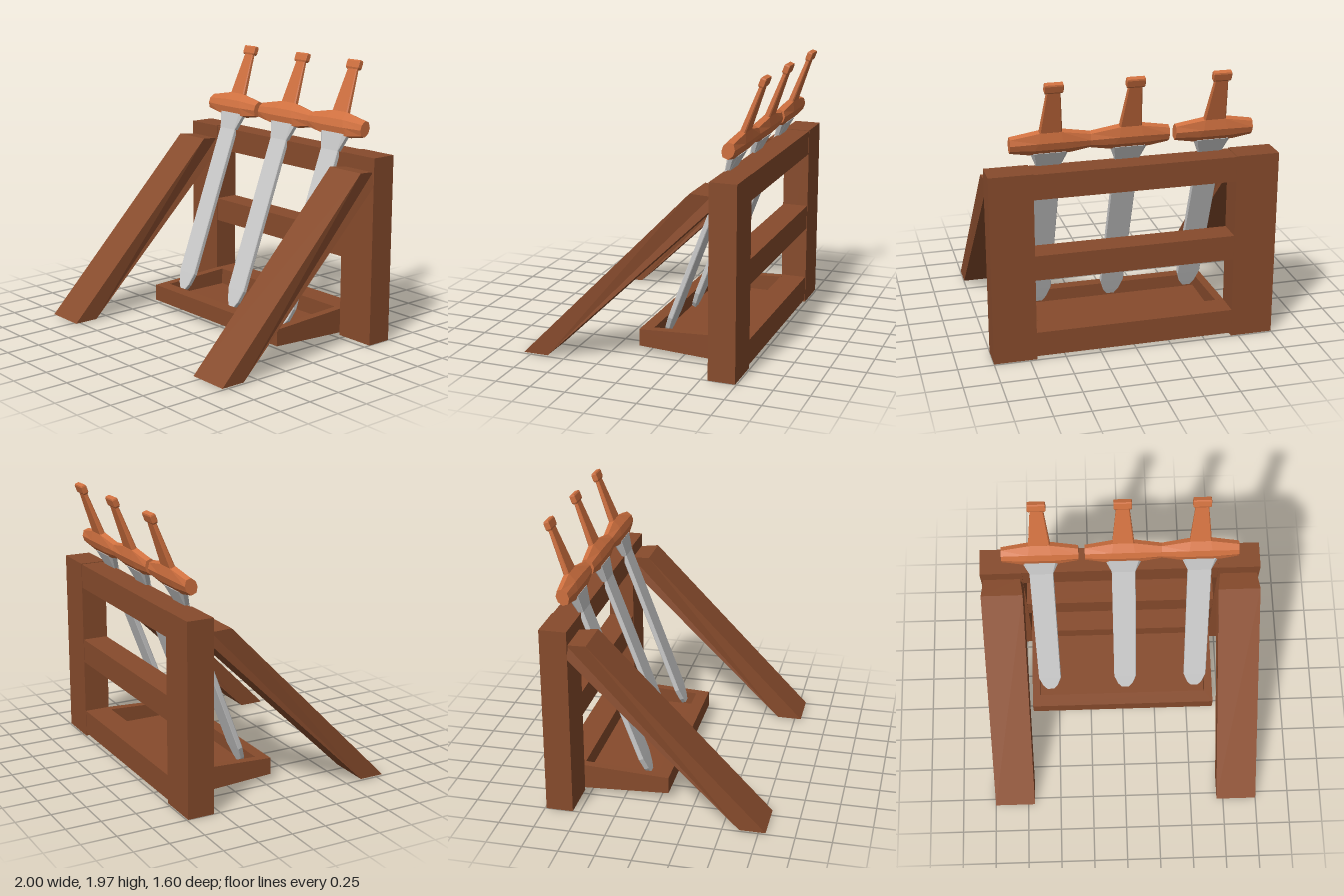
import * as THREE from 'three';

const WOOD = new THREE.MeshStandardMaterial({ color: 0x874b2c, flatShading: true });
const HILT = new THREE.MeshStandardMaterial({ color: 0xcf703f, flatShading: true });
const STEEL = new THREE.MeshStandardMaterial({ color: 0xcccccc, flatShading: true });

function mesh(name, geometry, material) {
  const m = new THREE.Mesh(geometry, material);
  m.name = name;
  return m;
}

// Box given by its limits on each axis
function block(name, [x0, x1], [y0, y1], [z0, z1], material = WOOD) {
  const g = new THREE.BoxGeometry(x1 - x0, y1 - y0, z1 - z0);
  g.translate((x0 + x1) / 2, (y0 + y1) / 2, (z0 + z1) / 2);
  return mesh(name, g, material);
}

// Skin a list of rings (counter-clockwise seen from the far end) and cap both ends
function loft(rings) {
  const pos = [];
  const tri = (a, b, c) => pos.push(...a, ...b, ...c);
  const n = rings[0].length;
  for (let i = 0; i < rings.length - 1; i++) {
    for (let j = 0; j < n; j++) {
      const k = (j + 1) % n;
      const [a, b, c, d] = [rings[i][j], rings[i][k], rings[i + 1][k], rings[i + 1][j]];
      tri(a, b, c);
      tri(a, c, d);
    }
  }
  const first = rings[0], last = rings[rings.length - 1];
  for (let j = 1; j < n - 1; j++) {
    tri(first[0], first[j + 1], first[j]);
    tri(last[0], last[j], last[j + 1]);
  }
  const g = new THREE.BufferGeometry();
  g.setAttribute('position', new THREE.Float32BufferAttribute(pos, 3));
  g.computeVertexNormals();
  return g;
}

// Chamfered rectangle at height y: half width w, half depth t, face half width f, edge half depth e
const section = ([y, w, t, f, e]) => [
  [w, y, e], [w, y, -e], [f, y, -t], [-f, y, -t],
  [-w, y, -e], [-w, y, e], [-f, y, t], [f, y, t],
];

function createSword() {
  const sword = new THREE.Group();
  sword.name = 'sword';

  // Blade: blunt rounded tip, straight body, flared shoulder
  const blade = [
    [0, 0.03, 0.016, 0.027, 0.012],
    [0.04, 0.057, 0.017, 0.053, 0.013],
    [0.13, 0.085, 0.018, 0.081, 0.013],
    [1.285, 0.085, 0.018, 0.081, 0.013],
    [1.41, 0.132, 0.035, 0.105, 0.014],
  ];
  sword.add(mesh('blade', loft(blade.map(section)), STEEL));

  // Crossguard: faceted bar, thick in the middle and slimmer at the ends
  // Profile points: middle y, z, x reach; then end y, z
  const profile = [
    [1.568, 0.02, 0.07, 1.53, 0.018],
    [1.505, 0.051, 0.08, 1.495, 0.042],
    [1.45, 0.051, 0.11, 1.455, 0.042],
    [1.398, 0.025, 0.14, 1.42, 0.02],
  ];
  const [p0, p1, p2, p3] = profile;
  const loop = [[p0, -1], [p0, 1], [p1, 1], [p2, 1], [p3, 1], [p3, -1], [p2, -1], [p1, -1]];
  const end = (x) => loop.map(([p, s]) => [x, p[3], s * p[4]]);
  const middle = (side) => loop.map(([p, s]) => [side * p[2], p[0], s * p[1]]);
  sword.add(mesh('crossguard', loft([end(-0.27), middle(-1), middle(1), end(0.27)]), HILT));

  // Tapered grip and chamfered pommel
  const grip = [[1.55, 0.078, 0.02, 0.07, 0.012], [1.89, 0.045, 0.013, 0.04, 0.008]];
  sword.add(mesh('grip', loft(grip.map(section)), HILT));
  const pommel = [
    [1.882, 0.058, 0.014, 0.056, 0.012],
    [1.894, 0.063, 0.02, 0.06, 0.017],
    [1.94, 0.063, 0.02, 0.06, 0.017],
    [1.95, 0.06, 0.016, 0.057, 0.013],
  ];
  sword.add(mesh('pommel', loft(pommel.map(section)), HILT));
  return sword;
}

// Slanted front leg, its top end slightly narrowed where it meets the post
function legGeometry() {
  const s = new THREE.Shape([
    [0.8, 0.01], [-0.42, 1.262], [-0.56, 1.25], [-0.56, 1.16], [0.62, 0.01],
  ].map(([z, y]) => new THREE.Vector2(-z, y)));
  const g = new THREE.ExtrudeGeometry(s, { depth: 0.3, bevelEnabled: false });
  g.translate(0, 0, -0.15).rotateY(Math.PI / 2);
  const p = g.attributes.position;
  for (let i = 0; i < p.count; i++) {
    if (p.getZ(i) < -0.5 && p.getY(i) > 1.2) p.setX(i, p.getX(i) * 0.87);
  }
  g.computeVertexNormals();
  return g;
}

// U-shaped tray rim whose height grows towards the back
function trayRimGeometry() {
  const s = new THREE.Shape([
    [-0.7, 0.06], [-0.7, -0.56], [-0.64, -0.56], [-0.64, -0.03],
    [0.64, -0.03], [0.64, -0.56], [0.7, -0.56], [0.7, 0.06],
  ].map(([x, z]) => new THREE.Vector2(x, -z)));
  const g = new THREE.ExtrudeGeometry(s, { depth: 1, bevelEnabled: false });
  g.rotateX(-Math.PI / 2);
  const p = g.attributes.position;
  for (let i = 0; i < p.count; i++) {
    const half = 0.06 + 0.03 * (0.06 - p.getZ(i)) / 0.61;
    p.setY(i, 0.11 + (p.getY(i) > 0.5 ? half : -half));
  }
  g.computeVertexNormals();
  return g;
}

export function createModel() {
  const model = new THREE.Group();
  model.name = 'swordRack';

  // Upright posts and slanted legs on both sides
  for (const [side, label] of [[1, 'left'], [-1, 'right']]) {
    const post = block(label + 'Post', [-0.15, 0.15], [0, 1.35], [-0.74, -0.55]);
    const leg = mesh(label + 'Leg', legGeometry(), WOOD);
    post.position.x = leg.position.x = side * 0.85;
    model.add(post, leg);
  }

  // Cross rails between the posts
  const rails = { topRail: [1.168, 1.345], middleRail: [0.59, 0.767], bottomRail: [0.022, 0.2] };
  for (const [name, y] of Object.entries(rails)) {
    model.add(block(name, [-0.7, 0.7], y, [-0.737, -0.555]));
  }

  // Tray that catches the blade tips
  model.add(mesh('trayRim', trayRimGeometry(), WOOD));
  model.add(block('trayFloor', [-0.642, 0.642], [0.04, 0.08], [-0.56, -0.028]));

  // Three swords leaning back against the top rail
  for (const x of [-0.56, 0.025, 0.565]) {
    const sword = createSword();
    sword.position.set(x, 0.14, -0.105);
    sword.rotation.x = -0.358;
    model.add(sword);
  }
  return model;
}
